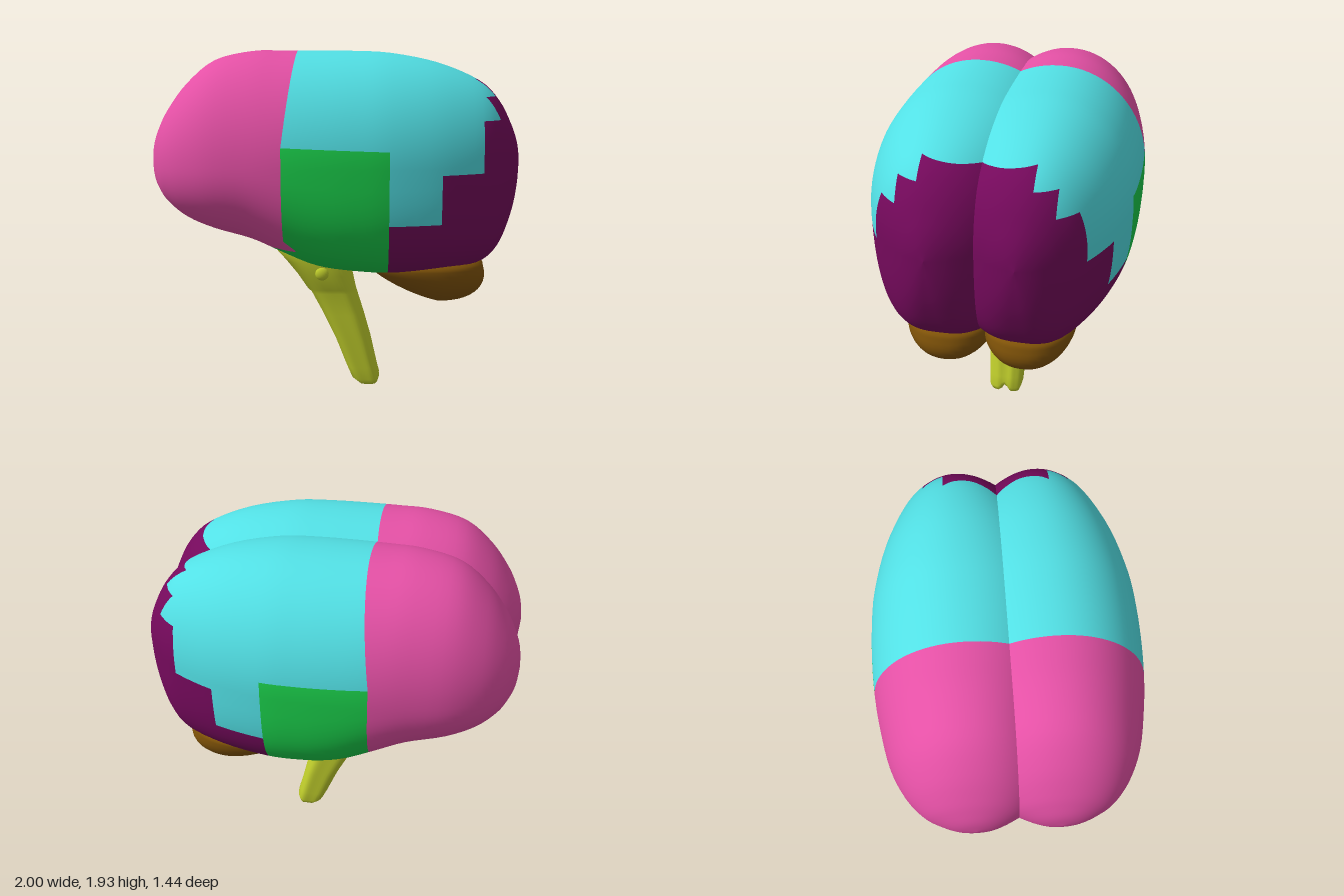
import * as THREE from 'three';

const mat = (name, color) => {
  const m = new THREE.MeshStandardMaterial({ color });
  m.name = name;
  return m;
};

// Closed skin over rings of equal length; the first and last ring close the ends
function skin(rings) {
  const n = rings[0].length, pos = rings.flat(2), idx = [];
  for (let i = 0; i < rings.length - 1; i++)
    for (let j = 0; j < n; j++) {
      const a = i * n + j, b = i * n + (j + 1) % n;
      idx.push(a, a + n, b + n, a, b + n, b);
    }
  const g = new THREE.BufferGeometry();
  g.setAttribute('position', new THREE.Float32BufferAttribute(pos, 3));
  g.setIndex(idx);
  g.computeVertexNormals();
  return g;
}

const spow = (v, p) => Math.sign(v) * Math.abs(v) ** p;

// Cerebral hemisphere: x, top, bottom, outer width
const MID = 1.34, LOBE = 0.22;
const rows = [
  [-1, MID, MID, 0.22], [-0.985, 1.45, 1.23, 0.32], [-0.95, 1.54, 1.16, 0.41], [-0.9, 1.63, 1.1, 0.49],
  [-0.8, 1.76, 1.025, 0.575], [-0.65, 1.88, 0.965, 0.645], [-0.45, 1.927, 0.91, 0.687],
  [-0.28, 1.93, 0.84, 0.71], [-0.1, 1.93, 0.775, 0.72], [0.1, 1.928, 0.748, 0.718],
  [0.3, 1.917, 0.737, 0.7], [0.55, 1.867, 0.75, 0.637], [0.77, 1.775, 0.785, 0.535],
  [0.88, 1.67, 0.87, 0.44], [0.95, 1.54, 1.03, 0.35], [0.985, 1.44, 1.18, 0.28], [1, MID, MID, 0.22],
];

function hemisphere() {
  const heights = new THREE.CatmullRomCurve3(rows.map(r => new THREE.Vector3(r[0], r[1], r[2])), false, 'catmullrom');
  const widths = new THREE.CatmullRomCurve3(rows.map(r => new THREE.Vector3(r[0], r[3], 0)), false, 'catmullrom');
  const rings = [], NX = 64, NA = 80;
  for (let i = 0; i <= NX; i++) {
    const h = heights.getPoint(i / NX), a = Math.max(0, widths.getPoint(i / NX).y - LOBE);
    const low = 2.2 + 0.8 * THREE.MathUtils.smoothstep(h.x, -0.5, 0.1);
    const inner = 1 + 0.12 * THREE.MathUtils.smoothstep(h.x, -0.8, 0.4);
    const ring = [];
    for (let j = 0; j < NA; j++) {
      const t = j / NA * Math.PI * 2, s = Math.sin(t), c = Math.cos(t), e = 2 / (s > 0 ? 2.05 : low);
      const y = MID + (s > 0 ? h.y - MID : MID - h.z) * spow(s, e);
      ring.push([h.x, y, LOBE + a * (c < 0 ? inner : 1) * spow(c, e)]);
    }
    rings.push(ring);
  }
  return skin(rings);
}

// Planes [x, y, z, offset]: the midline, then those along which the coloured regions meet
const cuts = [
  [0, 0, 1, 0],
  [1, 0, 0, 0.26], [1, -0.125, 0, 0.44125], [0, 1, 0, -1.45], [0, 1, 0, -0.89], [0.07, 0.08, 0, -0.058],
  [1, 0, 0, 0.2], [1, 0, 0, -0.285], [0.037, 1, 0, -1.44], [1, 0, 0, -0.555], [1, 0, 0, -0.775],
  [0, 1, 0, -1.05], [0, 1, 0, -1.305], [0, 1, 0, -1.57], [0, 1, 0, -1.69], [0, 1, -0.15, -1.74],
  [0, 0, 1, -0.39], [0, 0, 1, -0.28],
];

function region(x, y, z) {
  const edge = -0.26 + Math.max(0, 0.125 * (y - 1.45));
  const spike = x < -0.2 && 0.07 * x + 0.08 * y < 0.058;
  if (y > 0.89 && (x < edge || spike)) return 'frontalLobe';
  if (x < 0.285) return y < 1.44 - 0.037 * x ? 'temporalLobe' : 'parietalLobe';
  const side = x < 0.555 ? 1.05 : x < 0.775 ? 1.305 : z > 0.39 ? 1.57 : 1.69;
  return y < (z < 0.28 ? 1.74 + 0.15 * z : side) ? 'occipitalLobe' : 'parietalLobe';
}

// Split one triangle (corners hold position and normal) by a plane
function split(tri, [a, b, c, d]) {
  const f = tri.map(p => a * p[0] + b * p[1] + c * p[2] + d);
  if (Math.min(...f) > -1e-5 || Math.max(...f) < 1e-5) return [tri];
  const halves = [[], []];
  for (let i = 0; i < 3; i++) {
    const k = (i + 1) % 3;
    halves[f[i] > 0 ? 1 : 0].push(tri[i]);
    if (f[i] > 0 !== f[k] > 0) {
      const t = f[i] / (f[i] - f[k]);
      const m = tri[i].map((v, q) => v + (tri[k][q] - v) * t);
      halves[0].push(m);
      halves[1].push(m);
    }
  }
  return halves.flatMap(h => h.slice(2).map((p, i) => [h[0], h[i + 1], p]));
}

// Cut the hemisphere into lobes and mirror each to the other side
function cerebrum(materials) {
  const g = hemisphere(), P = g.attributes.position, N = g.attributes.normal, idx = g.index.array;
  const corner = i => [P.getX(i), P.getY(i), P.getZ(i), N.getX(i), N.getY(i), N.getZ(i)];
  const lobes = {};
  for (let i = 0; i < idx.length; i += 3) {
    let tris = [[corner(idx[i]), corner(idx[i + 1]), corner(idx[i + 2])]];
    for (const cut of cuts) tris = tris.flatMap(t => split(t, cut));
    for (const t of tris) {
      const mid = [0, 1, 2].map(k => (t[0][k] + t[1][k] + t[2][k]) / 3);
      if (mid[2] < 0) continue;
      const flip = [t[0], t[2], t[1]].map(p => [p[0], p[1], -p[2], p[3], p[4], -p[5]]);
      (lobes[region(...mid)] ??= []).push(...t, ...flip);
    }
  }
  const group = new THREE.Group();
  group.name = 'cerebrum';
  for (const [name, pts] of Object.entries(lobes)) {
    const geo = new THREE.BufferGeometry();
    geo.setAttribute('position', new THREE.Float32BufferAttribute(pts.flatMap(p => p.slice(0, 3)), 3));
    geo.setAttribute('normal', new THREE.Float32BufferAttribute(pts.flatMap(p => p.slice(3)), 3));
    const mesh = new THREE.Mesh(geo, materials[name]);
    mesh.name = name;
    group.add(mesh);
  }
  return group;
}

// Cerebellum lobe: a squarish ball, deepest towards the back and flat at the midline
function cerebellumLobe(side) {
  const g = new THREE.SphereGeometry(1, 40, 28), p = g.attributes.position;
  for (let i = 0; i < p.count; i++) {
    const x = p.getX(i), y = p.getY(i), z = p.getZ(i);
    const down = Math.max(0, -y);
    const px = 0.5 + 0.32 * spow(x, 0.9) + 0.07 * down;
    const depth = 0.205 * (1 + 0.35 * Math.min(0, px - 0.57) / 0.3);
    const py = 0.76 + (y < 0 ? depth : 0.09) * spow(y, 0.95);
    const pz = 0.21 + 0.255 * spow(z * side, 0.9) * (1 - 0.1 * down);
    p.setXYZ(i, px, py, side * Math.max(0, pz));
  }
  g.computeVertexNormals();
  return g;
}

// Brain stem: y, front x, back x, half width
function brainStem() {
  const stations = [
    [0.0, 0.16, 0.22, 0.045], [0.0, 0.125, 0.245, 0.085], [0.03, 0.085, 0.257, 0.098], [0.1, 0.055, 0.243, 0.102],
    [0.27, -0.012, 0.205, 0.113], [0.42, -0.085, 0.163, 0.118], [0.55, -0.155, 0.123, 0.122],
    [0.575, -0.178, 0.117, 0.135], [0.66, -0.235, 0.1, 0.155], [0.74, -0.3, 0.08, 0.165],
    [0.82, -0.375, 0.065, 0.16], [0.92, -0.38, 0.03, 0.13], [0.92, -0.16, -0.15, 0.005],
  ];
  const n = 48;
  const rings = stations.map(([y, x0, x1, w], k) => Array.from({ length: n }, (_, j) => {
    const t = j / n * Math.PI * 2, c = Math.cos(t), s = Math.sin(t);
    const groove = Math.exp(-((s / 0.22) ** 2)), ridge = 1 + (k < 7 ? 0.035 : 0.01) * Math.cos(6 * t);
    const x = (x0 + x1) / 2 + (x1 - x0) / 2 * spow(c, 0.8) * (1 - 0.16 * groove) * ridge;
    return [x, y + (k < 3 ? 0.045 * groove : 0), w * spow(s, 0.8) * ridge];
  }));
  // Close the lower end at its middle
  rings.unshift(Array.from({ length: n }, () => [0.19, 0.04, 0]));
  return skin(rings);
}

export function createModel() {
  const model = new THREE.Group();
  model.name = 'brain';
  const olive = mat('olive yellow', 0xc1cf2c), brown = mat('brown', 0x835508);
  model.add(cerebrum({
    frontalLobe: mat('pink', 0xe450a5),
    parietalLobe: mat('cyan', 0x52e0e5),
    temporalLobe: mat('green', 0x1acd4a),
    occipitalLobe: mat('dark purple', 0x75095c),
  }));
  const add = (name, geo, material) => {
    const mesh = new THREE.Mesh(geo, material);
    mesh.name = name;
    model.add(mesh);
    return mesh;
  };
  add('brainStem', brainStem(), olive);
  for (const side of [1, -1]) {
    const word = side > 0 ? 'left' : 'right';
    add(word + 'Cerebellum', cerebellumLobe(side), brown);
    // Small nerve root swelling on the side of the stem
    const nub = add(word + 'NerveRoot', new THREE.SphereGeometry(0.04, 20, 14), olive);
    nub.position.set(-0.08, 0.68, side * 0.15);
    nub.scale.z = 0.6;
  }
  return model;
}
